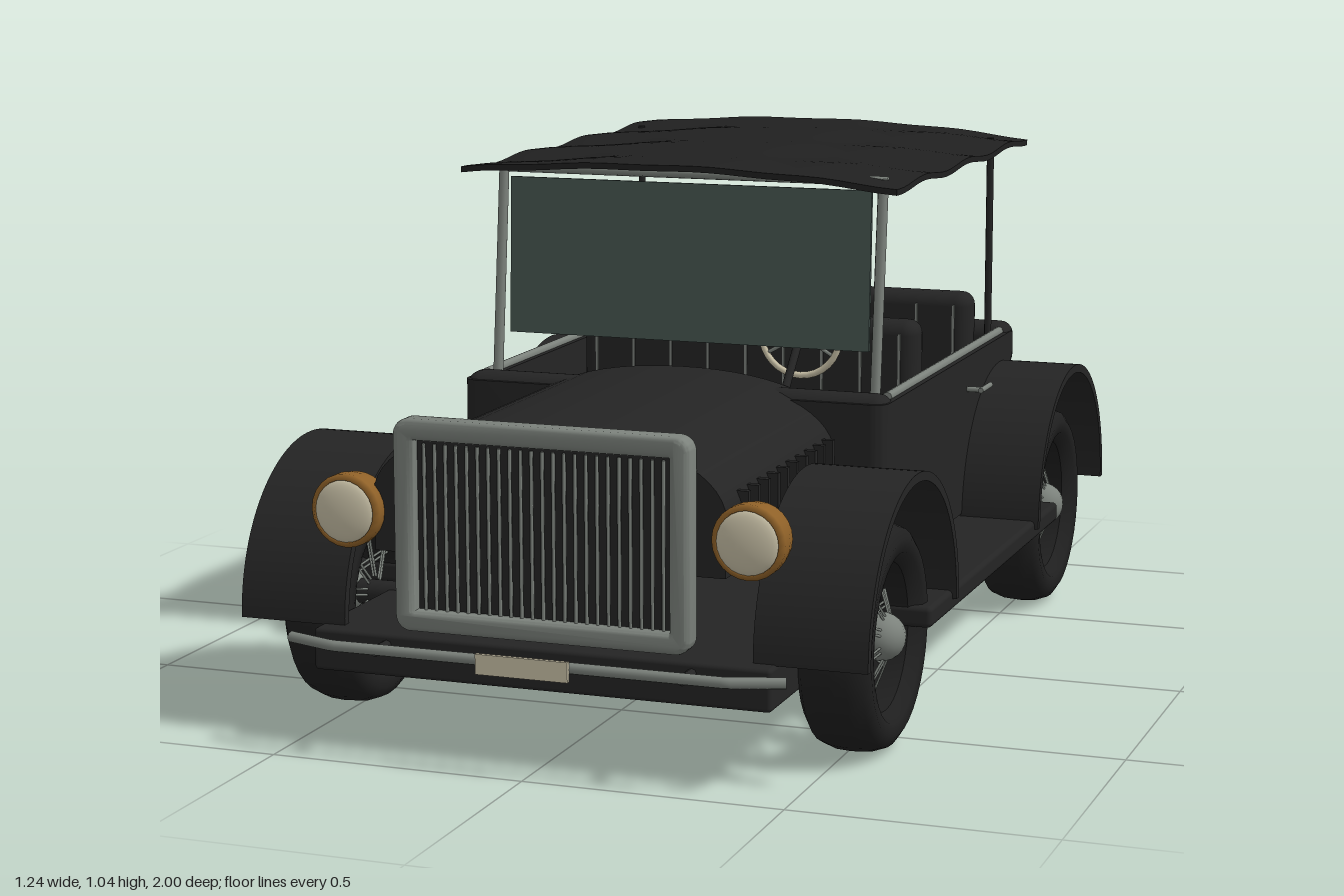
import * as THREE from 'three';
import { RoundedBoxGeometry } from 'three/addons/geometries/RoundedBoxGeometry.js';
import { mergeGeometries, toCreasedNormals } from 'three/addons/utils/BufferGeometryUtils.js';

const material = (name, color) => {
  const m = new THREE.MeshStandardMaterial({ color });
  m.name = name;
  return m;
};

export function createModel() {
  const car = new THREE.Group();
  car.name = 'vintageTouringCar';
  const black = material('bodyBlack', 0x242424);
  const rubber = material('tyreBlack', 0x1f1f1f);
  const canvas = material('canopyBlack', 0x202020);
  const metal = material('metalGrey', 0x7c827c);
  const cream = material('cream', 0xcac2a8);
  const brass = material('brass', 0x8f6128);
  const glass = material('glassGreen', 0x465550);

  const add = (name, geometry, mat, x = 0, y = 0, z = 0, parent = car) => {
    const mesh = new THREE.Mesh(geometry, mat);
    mesh.name = name;
    mesh.position.set(x, y, z);
    parent.add(mesh);
    return mesh;
  };
  // Box given by its min and max corners, with optional rounding
  const box = (name, mat, [x0, x1], [y0, y1], [z0, z1], r = 0) => {
    const s = [x1 - x0, y1 - y0, z1 - z0];
    const g = r ? new RoundedBoxGeometry(...s, 3, r) : new THREE.BoxGeometry(...s);
    return add(name, g, mat, (x0 + x1) / 2, (y0 + y1) / 2, (z0 + z1) / 2);
  };
  // Straight rod geometry between two points
  const rod = (a, b, r, sides = 8) => {
    const p = new THREE.Vector3(...a), q = new THREE.Vector3(...b);
    const g = new THREE.CylinderGeometry(r, r, p.distanceTo(q), sides);
    const dir = q.clone().sub(p).normalize();
    g.applyQuaternion(new THREE.Quaternion().setFromUnitVectors(new THREE.Vector3(0, 1, 0), dir));
    const c = p.add(q).multiplyScalar(0.5);
    return g.translate(c.x, c.y, c.z);
  };
  const roundRect = (S, x0, x1, y0, y1, r) => {
    const s = new S();
    s.moveTo(x0 + r, y0);
    s.lineTo(x1 - r, y0);
    s.absarc(x1 - r, y0 + r, r, -Math.PI / 2, 0);
    s.lineTo(x1, y1 - r);
    s.absarc(x1 - r, y1 - r, r, 0, Math.PI / 2);
    s.lineTo(x0 + r, y1);
    s.absarc(x0 + r, y1 - r, r, Math.PI / 2, Math.PI);
    s.lineTo(x0, y0 + r);
    s.absarc(x0 + r, y0 + r, r, Math.PI, Math.PI * 1.5);
    return s;
  };

  // Chassis and open passenger tub
  box('chassis', black, [-0.45, 0.45], [0.15, 0.23], [-1, 0.925], 0.008);
  const tub = roundRect(THREE.Shape, -0.45, 0.45, -0.23, 0.785, 0.03);
  tub.holes.push(roundRect(THREE.Path, -0.41, 0.41, -0.15, 0.745, 0.02));
  const tubGeo = new THREE.ExtrudeGeometry(tub, { depth: 0.335, bevelEnabled: false, curveSegments: 6 });
  add('bodyTub', toCreasedNormals(tubGeo.rotateX(-Math.PI / 2), 0.6), black, 0, 0.25, 0);
  box('floor', black, [-0.43, 0.43], [0.225, 0.26], [-0.77, 0.22]);
  box('rearRoll', black, [-0.45, 0.45], [0.5, 0.605], [-0.795, -0.71], 0.03);
  box('frontShoulder', black, [-0.45, 0.45], [0.5, 0.6], [0.15, 0.225], 0.03);

  // Arched bonnet with side louvres
  const hood = new THREE.Shape();
  hood.moveTo(-0.345, 0.375);
  hood.lineTo(0.345, 0.375);
  hood.lineTo(0.345, 0.5);
  hood.bezierCurveTo(0.32, 0.585, 0.18, 0.625, 0, 0.625);
  hood.bezierCurveTo(-0.18, 0.625, -0.32, 0.585, -0.345, 0.5);
  const hoodGeo = new THREE.ExtrudeGeometry(hood, { depth: 0.72, bevelEnabled: false, curveSegments: 14 });
  add('bonnet', toCreasedNormals(hoodGeo, 0.5), black, 0, 0, 0.15);
  for (const s of [-1, 1])
    for (let i = 0; i < 10; i++)
      add('louvre', new THREE.BoxGeometry(0.025, 0.13, 0.014), black, s * 0.347, 0.455, 0.275 + i * 0.056);

  // Radiator: rounded frame, dark core and upright bars
  const frame = roundRect(THREE.Shape, -0.28, 0.28, 0.245, 0.625, 0.02);
  frame.holes.push(roundRect(THREE.Path, -0.26, 0.26, 0.265, 0.605, 0.01));
  const frameGeo = new THREE.ExtrudeGeometry(frame,
    { depth: 0.03, bevelThickness: 0.01, bevelSize: 0.01, bevelSegments: 3, curveSegments: 5 });
  add('radiatorFrame', toCreasedNormals(frameGeo, 0.7), metal, 0, 0, 0.87);
  box('radiatorCore', black, [-0.265, 0.265], [0.26, 0.61], [0.865, 0.885]);
  const bars = [];
  for (let i = -11; i <= 11; i++) bars.push(rod([i * 0.0213, 0.275, 0.89], [i * 0.0213, 0.588, 0.89], 0.0035, 6));
  add('radiatorBars', mergeGeometries(bars), metal);

  // Headlamps on a cross bar
  const bowl = [[0, -0.062], [0.03, -0.055], [0.052, -0.037], [0.065, -0.01], [0.07, 0.02], [0.07, 0.045],
    [0.06, 0.056], [0.058, 0.045]].map(p => new THREE.Vector2(...p));
  for (const s of [-1, 1]) {
    add('headlampBowl', new THREE.LatheGeometry(bowl, 24).rotateX(Math.PI / 2), brass, s * 0.395, 0.45, 0.845);
    const lens = new THREE.SphereGeometry(0.06, 24, 8, 0, Math.PI * 2, 0, Math.PI / 2);
    add('headlampLens', lens.scale(1, 0.25, 1).rotateX(Math.PI / 2), cream, s * 0.395, 0.45, 0.893);
    add('headlampArm', rod([s * 0.28, 0.45, 0.84], [s * 0.37, 0.45, 0.84], 0.012), black);
    add('headlampStay', rod([s * 0.3, 0.38, 0.82], [s * 0.3, 0.5, 0.82], 0.008), black);
  }

  // Bumper and blank plate
  const bumper = new THREE.CurvePath();
  const bp = [[-0.485, 0.215, 0.945], [-0.385, 0.215, 0.98], [0.385, 0.215, 0.98], [0.485, 0.215, 0.945]]
    .map(p => new THREE.Vector3(...p));
  for (let i = 0; i < 3; i++) bumper.add(new THREE.LineCurve3(bp[i], bp[i + 1]));
  add('bumper', new THREE.TubeGeometry(bumper, 60, 0.011, 8), metal);
  for (const s of [-1, 1]) add('bumperBracket', rod([s * 0.3, 0.21, 0.9], [s * 0.3, 0.21, 0.975], 0.01), black);
  box('frontPlate', cream, [-0.09, 0.09], [0.192, 0.23], [0.99, 0.998]);

  // Wheels with tyre, wire spokes and hub
  const tyre = [[0.14, -0.045], [0.16, -0.068], [0.185, -0.071], [0.205, -0.058], [0.215, -0.03], [0.217, 0],
    [0.215, 0.03], [0.205, 0.058], [0.185, 0.071], [0.16, 0.068], [0.14, 0.045], [0.14, -0.045]]
    .map(p => new THREE.Vector2(...p));
  const tyreGeo = new THREE.LatheGeometry(tyre, 36).rotateZ(Math.PI / 2);
  const spokes = [];
  for (let i = 0; i < 32; i++) {
    const a = i / 32 * Math.PI * 2, b = a + (i % 4 < 2 ? 0.16 : -0.16), x = i % 2 ? 0.05 : -0.03;
    spokes.push(rod([x, 0.03 * Math.cos(a), 0.03 * Math.sin(a)], [0, 0.145 * Math.cos(b), 0.145 * Math.sin(b)], 0.0025, 5));
  }
  const spokeGeo = mergeGeometries(spokes);
  const fender = new THREE.Shape();
  fender.absarc(0, 0, 0.303, 0, Math.PI);
  fender.absarc(0, 0, 0.285, Math.PI, 0, true);
  const fenderGeo = toCreasedNormals(new THREE.ExtrudeGeometry(fender,
    { depth: 0.215, bevelEnabled: false, curveSegments: 32 }), 0.5).rotateY(Math.PI / 2);
  for (const s of [-1, 1]) {
    for (const [end, z] of [['front', 0.585], ['rear', -0.655]]) {
      const wheel = new THREE.Group();
      wheel.name = end + 'Wheel';
      wheel.position.set(s * 0.518, 0.218, z);
      wheel.rotation.y = s < 0 ? Math.PI : 0;
      car.add(wheel);
      add('tyre', tyreGeo, rubber, 0, 0, 0, wheel);
      add('spokes', spokeGeo, metal, 0, 0, 0, wheel);
      add('hub', new THREE.SphereGeometry(0.046, 18, 12), metal, 0.035, 0, 0, wheel);
      add('axleStub', rod([-0.09, 0, 0], [0.03, 0, 0], 0.025, 12), black, 0, 0, 0, wheel);
      add(end + 'Fender', fenderGeo, black, s > 0 ? 0.403 : -0.618, 0.228, z);
    }
    box('runningBoard', black, s > 0 ? [0.4, 0.61] : [-0.61, -0.4], [0.204, 0.245], [-0.56, 0.45], 0.01);

    // Side rail, door handle, canopy post and windscreen upright
    add('sideRail', rod([s * 0.43, 0.588, 0.15], [s * 0.43, 0.588, -0.72], 0.01), metal);
    add('doorHandle', rod([s * 0.482, 0.515, -0.375], [s * 0.482, 0.515, -0.455], 0.006), metal);
    add('handleStem', rod([s * 0.44, 0.515, -0.385], [s * 0.482, 0.515, -0.385], 0.006), metal);
    add('canopyPost', rod([s * 0.41, 0.58, -0.7], [s * 0.41, 1.02, -0.7], 0.008), black);
    add('windscreenUpright', rod([s * 0.405, 0.58, 0.15], [s * 0.405, 1.015, 0.105], 0.011), metal);
  }

  // Windscreen
  add('windscreenTopBar', rod([-0.415, 1.01, 0.105], [0.415, 1.01, 0.105], 0.01), metal);
  const pane = add('windscreenGlass', new THREE.BoxGeometry(0.77, 0.32, 0.008), glass, 0, 0.832, 0.12);
  pane.rotation.x = -0.04;

  // Steering wheel and column
  add('steeringWheel', new THREE.TorusGeometry(0.083, 0.007, 8, 32), cream, 0.215, 0.685, 0.045);
  for (let i = 0; i < 3; i++) {
    const a = Math.PI / 2 + i * Math.PI * 2 / 3;
    add('steeringSpoke', rod([0.215, 0.685, 0.045],
      [0.215 + 0.083 * Math.cos(a), 0.685 + 0.083 * Math.sin(a), 0.045], 0.004), metal);
  }
  add('steeringColumn', rod([0.215, 0.685, 0.045], [0.215, 0.55, 0.18], 0.009), black);

  // Two bench seats with upholstery seams
  for (const [name, z] of [['frontSeat', -0.28], ['rearSeat', -0.705]]) {
    box(name + 'Back', black, [-0.375, 0.375], [0.27, 0.675], [z - 0.04, z + 0.04], 0.03);
    box(name + 'Cushion', black, [-0.375, 0.375], [0.26, 0.41], [z, z + 0.25], 0.03);
    for (let i = -4; i <= 4; i++)
      add(name + 'Seam', new THREE.BoxGeometry(0.005, 0.24, 0.006), metal, i * 0.085, 0.53, z + 0.04);
  }

  // Arched canopy with rippled cloth
  const roof = new THREE.BoxGeometry(0.92, 0.012, 1.03, 24, 1, 40);
  const p = roof.attributes.position;
  for (let i = 0; i < p.count; i++) {
    const x = p.getX(i), z = p.getZ(i);
    const ripple = 0.005 * Math.sin(z * 19 + x * 4) + 0.002 * Math.sin(x * 26);
    p.setY(i, p.getY(i) - 0.12 * x * x + ripple * (0.4 + 1.3 * Math.abs(x)));
  }
  add('canopy', toCreasedNormals(roof, 0.6), canvas, 0, 1.031, -0.315);
  return car;
}
